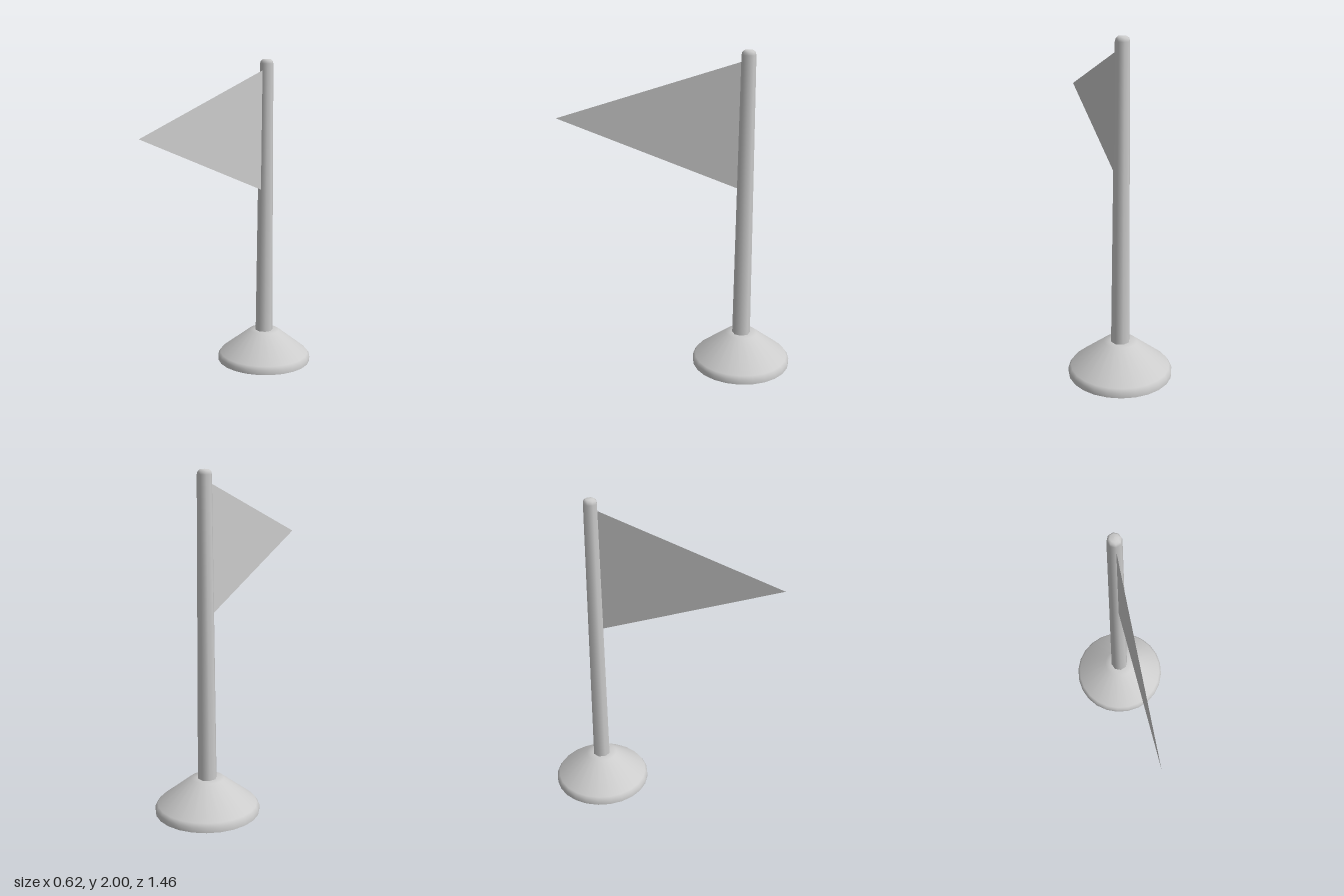
import * as THREE from 'three';

const POLE_Z = -0.42;

export function createModel() {
  const group = new THREE.Group();
  const material = new THREE.MeshStandardMaterial({ color: 0xcccccc, side: THREE.DoubleSide });

  // Revolves a list of [radius, height] points around the pole axis
  const addLathe = (name, points, sides) => {
    const profile = points.map(([r, y]) => new THREE.Vector2(r, y));
    const mesh = new THREE.Mesh(new THREE.LatheGeometry(profile, sides), material);
    mesh.name = name;
    mesh.position.z = POLE_Z;
    group.add(mesh);
  };

  // Hollow base, open underneath, with a flat top around the pole
  addLathe('base', [[0.31, 0], [0.31, 0.03], [0.295, 0.052], [0.1, 0.205], [0.045, 0.205]], 24);

  // Tapered pole with a closed foot and a rounded tip
  addLathe('pole', [[0, 0.2], [0.057, 0.2], [0.057, 0.2], [0.043, 1.97], [0.038, 1.988], [0.026, 1.998], [0, 2]], 8);

  // Flat triangular pennant in the x = 0 plane
  const outline = new THREE.Shape([
    new THREE.Vector2(0.38, 1.93),
    new THREE.Vector2(0.38, 1.165),
    new THREE.Vector2(-0.73, 1.577),
  ]);
  const flag = new THREE.Mesh(new THREE.ShapeGeometry(outline), material);
  flag.name = 'flag';
  flag.rotation.y = Math.PI / 2;
  group.add(flag);

  return group;
}
